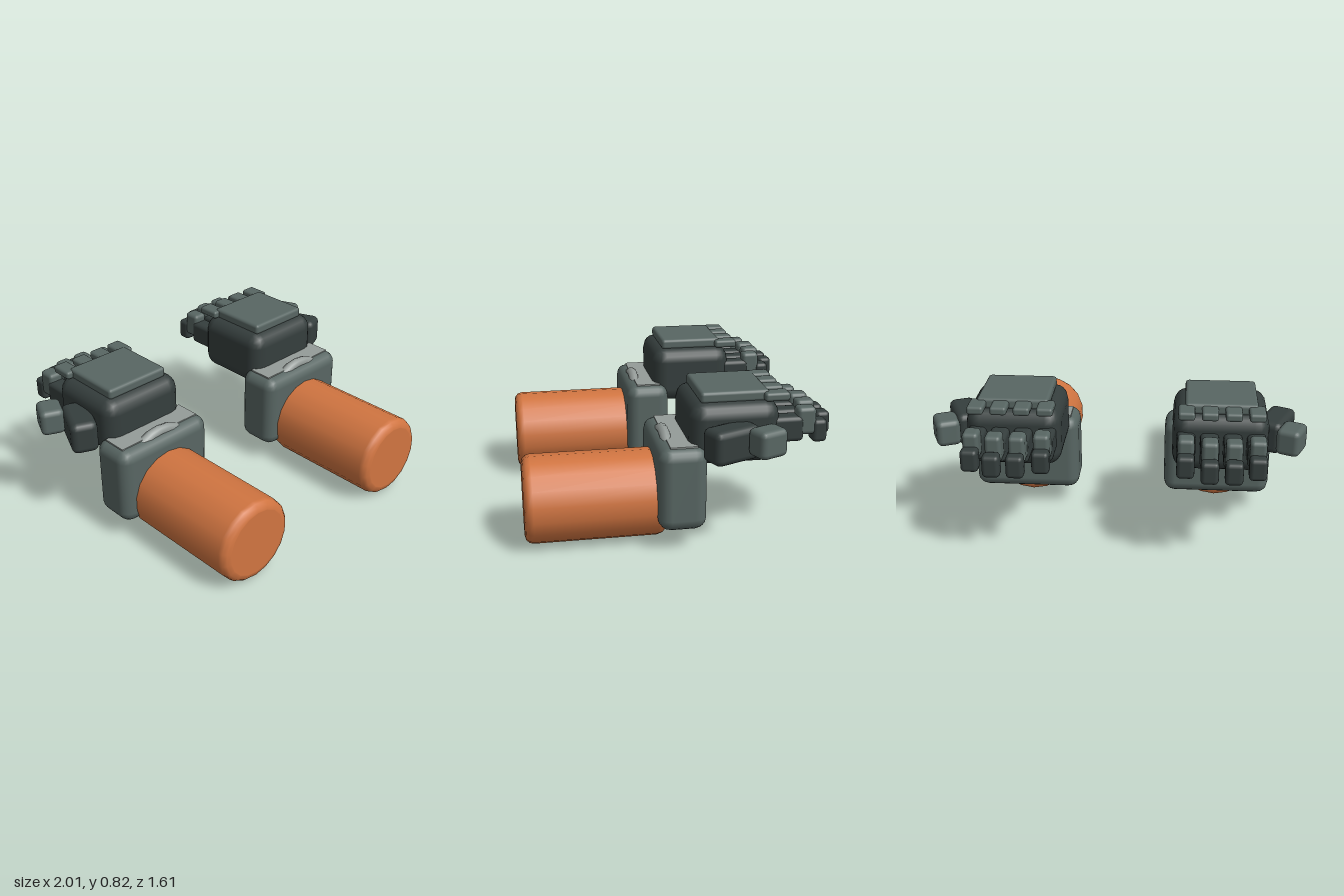
import * as THREE from 'three';
import { RoundedBoxGeometry } from 'three/addons/geometries/RoundedBoxGeometry.js';

const material = (name, color) => Object.assign(new THREE.MeshStandardMaterial({ color }), { name });

export function createModel() {
  const orange = material('orange sleeve', 0xd17541);
  const dark = material('dark grey', 0x353e3d);
  const grey = material('mid grey', 0x586663);
  const light = material('light grey', 0x959c99);

  function add(parent, name, geometry, mat, x, y, z) {
    const mesh = new THREE.Mesh(geometry, mat);
    mesh.name = name;
    mesh.position.set(x, y, z);
    parent.add(mesh);
    return mesh;
  }
  // Rounded block given by its size, edge radius and centre
  const block = (parent, name, mat, [w, h, d], r, [x, y, z]) =>
    add(parent, name, new RoundedBoxGeometry(w, h, d, 2, r), mat, x, y, z);

  // Forearm profile: flat caps with rounded rims, turned to lie along z
  const R = 0.234, rim = 0.045, start = 0.068, end = 0.8;
  const profile = [new THREE.Vector2(0, start), new THREE.Vector2(R - rim - 0.004, start)];
  for (let i = 0; i <= 3; i++) {
    const a = (i / 3) * Math.PI / 2;
    profile.push(new THREE.Vector2(R - rim + rim * Math.sin(a), start + rim - rim * Math.cos(a)));
  }
  for (let i = 0; i <= 3; i++) {
    const a = (i / 3) * Math.PI / 2;
    profile.push(new THREE.Vector2(R - rim + rim * Math.cos(a), end - rim + rim * Math.sin(a)));
  }
  profile.push(new THREE.Vector2(R - rim - 0.004, end), new THREE.Vector2(0, end));
  const forearmGeometry = new THREE.LatheGeometry(profile, 18).rotateX(Math.PI / 2);

  function buildArm(side) {
    const arm = new THREE.Group();
    arm.name = side > 0 ? 'leftArm' : 'rightArm';
    arm.position.x = side * 0.547;

    add(arm, 'forearm', forearmGeometry, orange, 0, 0.234, 0);

    // Wrist cuff with its top plate and the ring set into it
    block(arm, 'cuff', grey, [0.6, 0.445, 0.25], 0.065, [0, 0.338, 0.005]);
    add(arm, 'cuffTopPlate', new THREE.BoxGeometry(0.515, 0.008, 0.14), light, 0, 0.561, 0);
    add(arm, 'cuffRing', new THREE.TorusGeometry(0.23, 0.03, 8, 24), light, 0, 0.338, 0.062);

    // Hand
    block(arm, 'palm', dark, [0.505, 0.325, 0.465], 0.08, [0, 0.607, -0.268]);
    block(arm, 'backPlate', grey, [0.38, 0.06, 0.355], 0.018, [0, 0.789, -0.272]);

    // Four fingers, the middle two longer
    [-0.1815, -0.0605, 0.0605, 0.1815].forEach((x, i) => {
      const reach = i === 1 || i === 2 ? 0 : 1;
      const finger = new THREE.Group();
      finger.name = 'finger' + (i + 1);
      finger.position.x = x;
      arm.add(finger);
      block(finger, 'knucklePlate', grey, [0.087, 0.045, 0.13], 0.015, [0, 0.787, -0.482]);
      block(finger, 'fingerBase', dark, [0.098, 0.135, 0.19], 0.025, [0, 0.612, -0.555 + reach * 0.025]);
      block(finger, 'fingerMiddle', grey, [0.086, 0.145, 0.1], 0.022, [0, 0.65, -0.67 + reach * 0.03]);
      block(finger, 'fingerTip', dark, [0.091, 0.12, 0.078], 0.022, [0, 0.594, -0.766 + reach * 0.055]);
    });

    // Thumb on the outer side, leaning in towards the fingers
    const thumb = new THREE.Group();
    thumb.name = 'thumb';
    arm.add(thumb);
    const lean = side * 0.41;
    block(thumb, 'thumbBase', dark, [0.145, 0.178, 0.27], 0.035, [side * 0.303, 0.59, -0.228]).rotation.y = lean;
    block(thumb, 'thumbTip', grey, [0.13, 0.145, 0.162], 0.03, [side * 0.374, 0.612, -0.392]).rotation.y = lean;
    return arm;
  }

  const model = new THREE.Group();
  model.name = 'pairOfArms';
  model.add(buildArm(1), buildArm(-1));
  return model;
}
